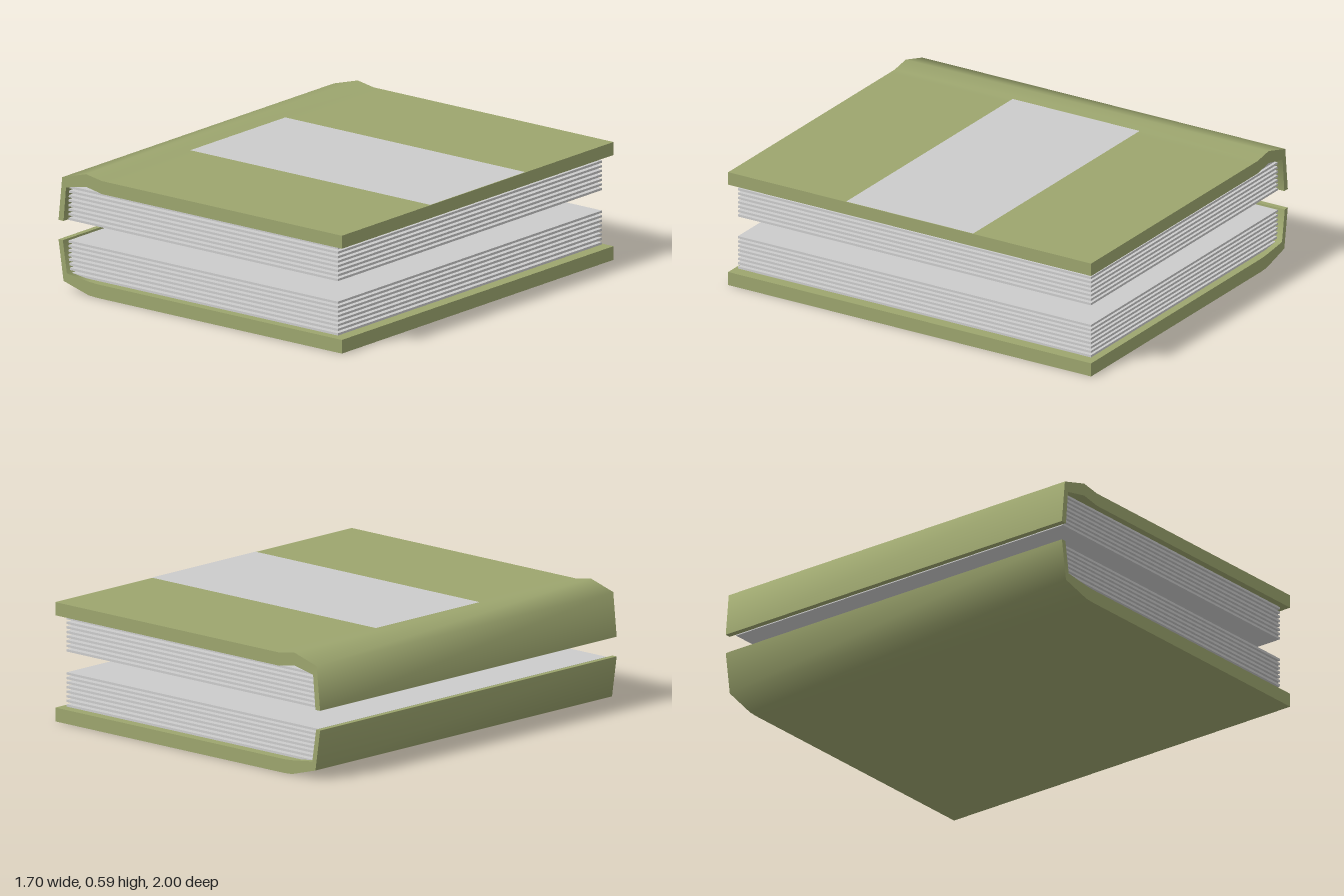
import * as THREE from 'three';
import { toCreasedNormals } from 'three/addons/utils/BufferGeometryUtils.js';

const coverMaterial = new THREE.MeshStandardMaterial({ color: 0x9ca56e });
const paperMaterial = new THREE.MeshStandardMaterial({ color: 0xcccccc });

const DEPTH = 2;

// Cover half: board, hinge and spine as one profile pulled along z
function makeCover(name, profile) {
  const shape = new THREE.Shape(profile.map(([x, y]) => new THREE.Vector2(x, y)));
  const geometry = new THREE.ExtrudeGeometry(shape, { depth: DEPTH, bevelEnabled: false });
  geometry.translate(0, 0, -DEPTH / 2);
  const mesh = new THREE.Mesh(toCreasedNormals(geometry, 1.3), coverMaterial);
  mesh.name = name;
  return mesh;
}

// Stack of separate sheets between two heights
function makePages(name, bottom, top, count = 8, thickness = 0.011) {
  const stack = new THREE.Group();
  stack.name = name;
  const geometry = new THREE.BoxGeometry(1.61, thickness, 1.945);
  const pitch = (top - bottom - thickness) / (count - 1);
  for (let i = 0; i < count; i++) {
    const sheet = new THREE.Mesh(geometry, paperMaterial);
    sheet.name = 'sheet';
    sheet.position.set(-0.005, bottom + thickness / 2 + i * pitch, 0.002);
    stack.add(sheet);
  }
  return stack;
}

export function createModel() {
  const book = new THREE.Group();
  book.name = 'book';

  // Upper cover with raised hinge ridge
  book.add(makeCover('upperCover', [
    [-0.85, 0.335], [-0.82, 0.335], [-0.805, 0.5], [-0.685, 0.525], [-0.59, 0.507], [-0.55, 0.507],
    [0.845, 0.507], [0.845, 0.57], [-0.55, 0.57], [-0.59, 0.57], [-0.685, 0.586], [-0.828, 0.545],
  ]));

  // Lower cover with sloped hinge
  book.add(makeCover('lowerCover', [
    [-0.85, 0.241], [-0.82, 0.045], [-0.67, 0.003], [-0.62, 0], [0.845, 0],
    [0.845, 0.066], [-0.62, 0.066], [-0.67, 0.069], [-0.8, 0.085], [-0.824, 0.241],
  ]));

  // Page stacks
  book.add(makePages('upperPages', 0.336, 0.501));
  book.add(makePages('lowerPages', 0.073, 0.237));

  // Pale label band lying on the upper cover
  const label = new THREE.Mesh(new THREE.PlaneGeometry(1.435, 0.7), paperMaterial);
  label.name = 'label';
  label.rotation.x = -Math.PI / 2;
  label.position.set(0.1275, 0.572, 0);
  book.add(label);

  return book;
}
